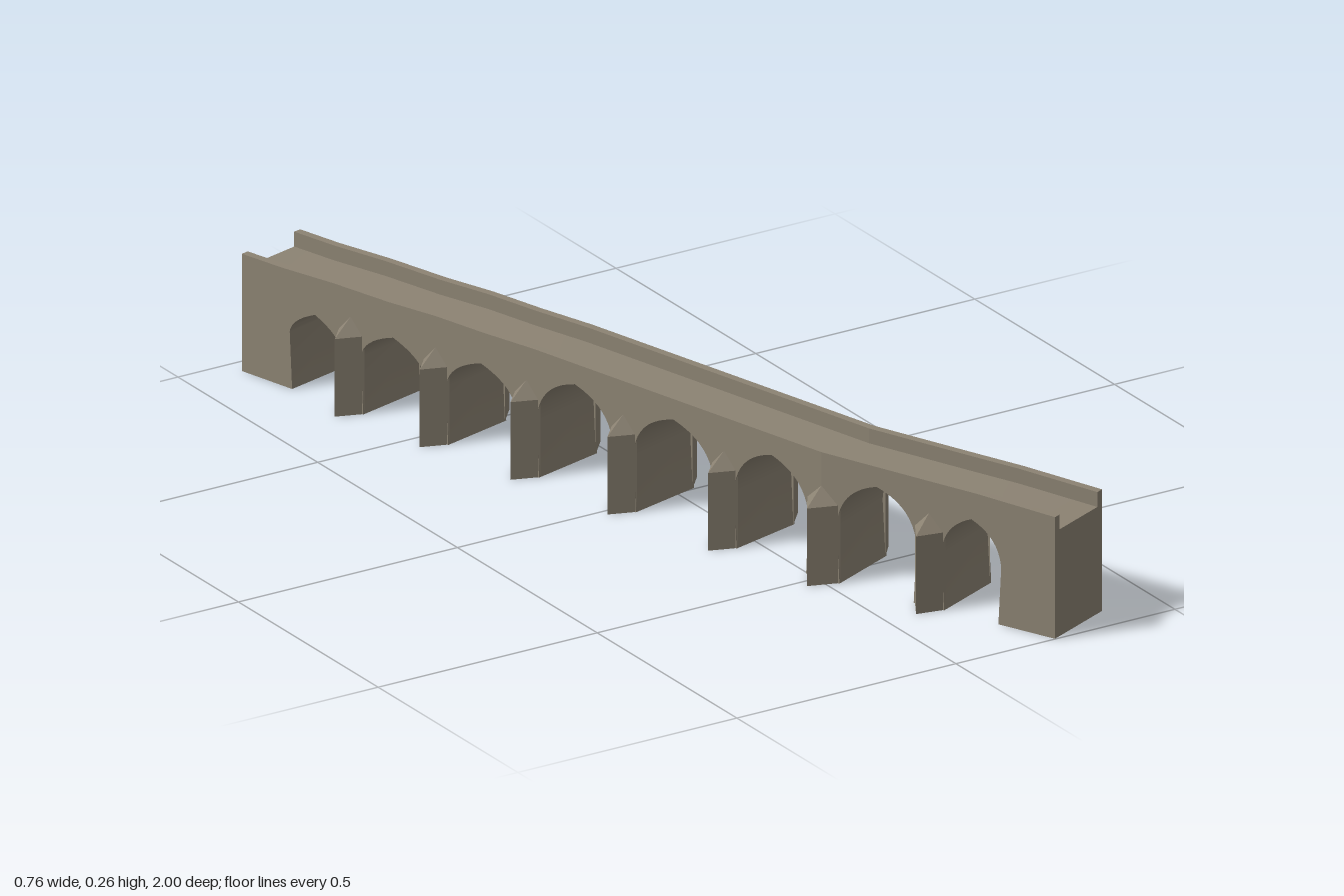
import * as THREE from 'three';
import { toCreasedNormals } from 'three/addons/utils/BufferGeometryUtils.js';
import { ConvexGeometry } from 'three/addons/geometries/ConvexGeometry.js';

const HALF = 0.0825;                        // half the bridge width
const WALL = 0.0165;                        // parapet thickness
const DROP = 0.031;                         // parapet height above the deck
const BACK = -0.98, BEND = 0.48, FRONT = 0.965;
const SLOPES = [0.264, 0.448];              // dx/dz before and after the bend
const SUPPORTS = [-0.885, -0.705, -0.49, -0.26, -0.015, 0.24, BEND, 0.7, 0.878];
const APEXES = [0.172, 0.183, 0.195, 0.222, 0.222, 0.222, 0.222, 0.205];

// height of the parapet top along the bridge
const TOP = [[BACK, 0.245], [-0.88, 0.246], [-0.75, 0.252], [-0.61, 0.254], [-0.49, 0.26],
  [-0.37, 0.261], [-0.24, 0.265], [BEND, 0.265], [0.7, 0.262], [0.8, 0.261], [FRONT, 0.254]];

const normalOf = (k) => new THREE.Vector2(-1, k).normalize();
const normals = SLOPES.map(normalOf);
const mitre = normals[0].clone().add(normals[1]).normalize();
mitre.divideScalar(mitre.dot(normals[0]));

// station u along the centre line, height y, offset o to the side -> world point
function place(u, y, o) {
  const k = u < BEND ? 0 : 1;
  const n = Math.abs(u - BEND) < 1e-5 ? mitre : normals[k];
  return new THREE.Vector3(0.085 + (u - BEND) * SLOPES[k] + n.x * o, y, u + n.y * o);
}

// extrude an elevation across the bridge and lay it along the bent centre line
function lay(shape, from, to) {
  const g = new THREE.ExtrudeGeometry(shape, { depth: to - from, bevelEnabled: false, curveSegments: 10 });
  const p = g.attributes.position;
  for (let i = 0; i < p.count; i++) {
    const v = place(p.getX(i), p.getY(i), p.getZ(i) + from);
    p.setXYZ(i, v.x, v.y, v.z);
  }
  return toCreasedNormals(g, 0.4);
}

// elevation of the arched wall up to the deck
function wallShape(u0, u1, first, last, tops) {
  const s = new THREE.Shape();
  s.moveTo(u0, 0);
  for (let i = first; i <= last; i++) {
    const l = SUPPORTS[i] + 0.032, r = SUPPORTS[i + 1] - 0.032;
    const m = (l + r) / 2, a = APEXES[i], spring = 0.118;
    s.lineTo(l, 0);
    s.lineTo(l - 0.006, spring);
    s.quadraticCurveTo(l - 0.002, a - 0.025, m, a);
    s.quadraticCurveTo(r + 0.002, a - 0.025, r + 0.006, spring);
    s.lineTo(r, 0);
  }
  s.lineTo(u1, 0);
  [...tops].reverse().forEach(([u, y]) => s.lineTo(u, y - DROP));
  s.closePath();
  return s;
}

// elevation of the parapet strip
function parapetShape(tops) {
  const low = tops.map(([u, y]) => new THREE.Vector2(u, y - DROP));
  const high = tops.map(([u, y]) => new THREE.Vector2(u, y)).reverse();
  return new THREE.Shape([...low, ...high]);
}

export function createModel() {
  const model = new THREE.Group();
  model.name = 'archedBridge';
  const stone = new THREE.MeshStandardMaterial({ color: 0x8c8373 });
  stone.name = 'weatheredStone';
  const add = (name, geometry) => {
    const mesh = new THREE.Mesh(geometry, stone);
    mesh.name = name;
    model.add(mesh);
  };

  // two straight stretches that meet in a mitre at the bend
  const stretches = [['back', BACK, BEND, 0, 5], ['front', BEND, FRONT, 6, 7]];
  for (const [name, u0, u1, first, last] of stretches) {
    const tops = TOP.filter(([u]) => u >= u0 && u <= u1);
    add(name + 'ArchedWall', lay(wallShape(u0, u1, first, last, tops), -HALF, HALF));
    add(name + 'LeftParapet', lay(parapetShape(tops), -HALF, -HALF + WALL));
    add(name + 'RightParapet', lay(parapetShape(tops), HALF - WALL, HALF));
  }

  // pointed cutwater buttresses on both sides of every pier
  for (const u of SUPPORTS.slice(1, -1)) {
    for (const side of [1, -1]) {
      const root = side * (HALF - 0.004), tip = side * (HALF + 0.045);
      const points = [];
      for (const y of [0, 0.162]) {
        points.push(place(u - 0.032, y, root), place(u + 0.032, y, root), place(u, y, tip));
      }
      points.push(place(u, 0.198, root));
      add(side > 0 ? 'rightButtress' : 'leftButtress', new ConvexGeometry(points));
    }
  }
  return model;
}
